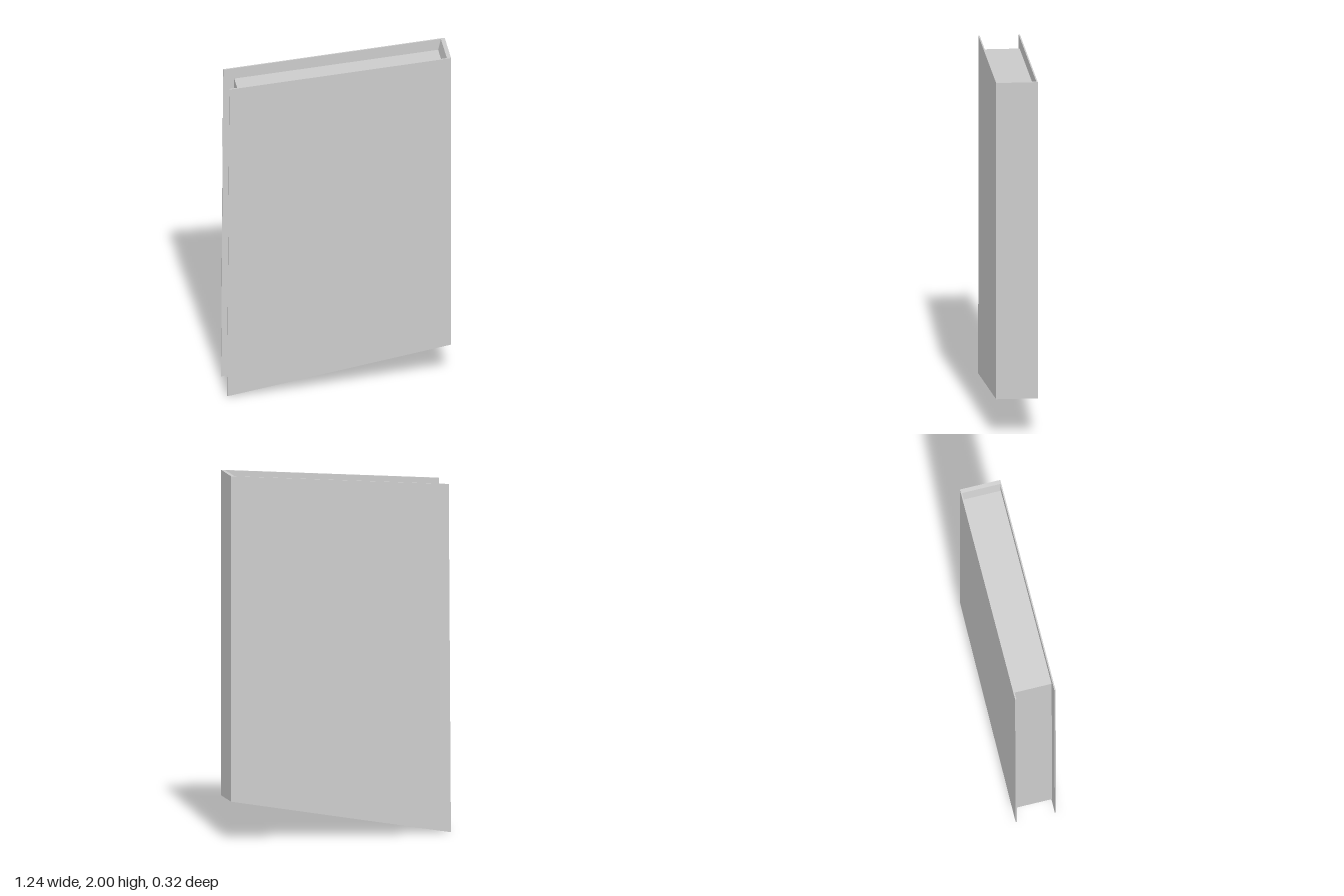
import * as THREE from 'three';

export function createModel() {
  const model = new THREE.Group();
  model.name = 'book';
  const material = new THREE.MeshStandardMaterial({ color: 0xcccccc, flatShading: true });
  const half = 0.113, board = 0.007;

  // Outline in the plane of the cover, given thickness from z0 to z1
  function slab(name, outline, z0, z1) {
    const shape = new THREE.Shape(outline.map(([x, y]) => new THREE.Vector2(x, y)));
    const geometry = new THREE.ExtrudeGeometry(shape, { depth: z1 - z0, bevelEnabled: false });
    geometry.translate(0, 0, z0);
    const mesh = new THREE.Mesh(geometry, material);
    mesh.name = name;
    model.add(mesh);
  }

  // Skewed covers: the fore-edge hangs lower than the spine
  const cover = [[-0.613, 0], [0.613, 0.215], [0.613, 2], [-0.601, 1.91]];
  slab('frontCover', cover, half - board, half);
  slab('backCover', cover, -half, -half + board);

  // Spine, bevelled inside where it meets the pages
  slab('spine', [
    [0.576, 0.253], [0.591, 0.211], [0.613, 0.215],
    [0.613, 2], [0.591, 1.998], [0.576, 1.932],
  ], -half + board, half - board);

  // Page block, recessed on the three open edges
  slab('pages', [
    [-0.554, 0.06], [0.576, 0.253], [0.576, 1.932], [-0.541, 1.85],
  ], -half + board, half - board);

  model.rotation.y = 0.08;
  return model;
}
